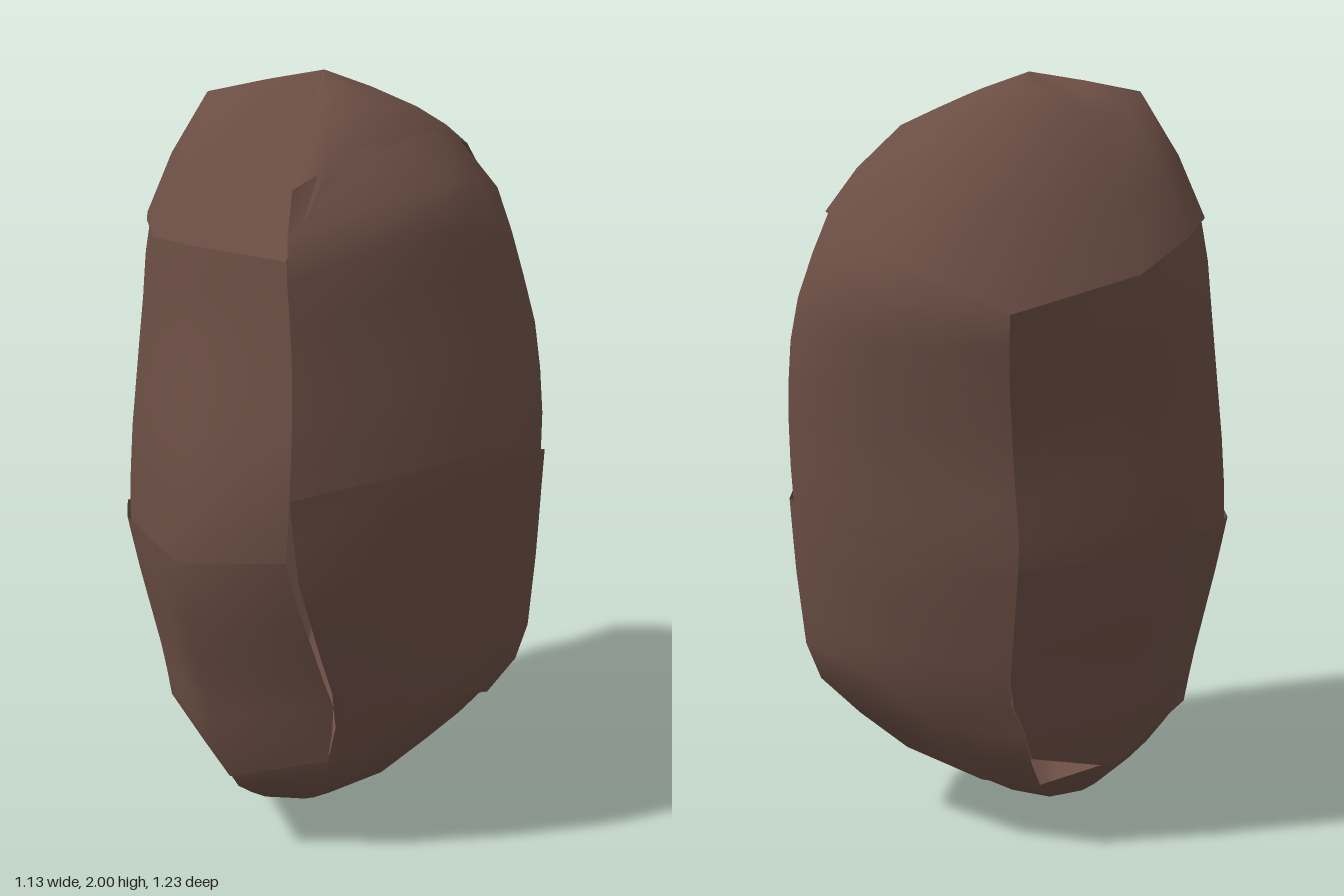
import * as THREE from 'three';

// Outline of the body seen from above, starting at +x and turning towards +z
const OUTLINE = [
  [1, 0.03], [0.9, 0.38], [0.68, 0.68], [0.29, 0.92], [-0.14, 1], [-0.66, 0.89], [-0.82, 0.56],
  [-0.98, 0.15], [-1, -0.09], [-0.88, -0.37], [-0.66, -0.76], [0.03, -1], [0.56, -0.87], [1, -0.49],
];
const N = OUTLINE.length;
// Corners that flatten towards the top
const UPPER_OUTLINE = OUTLINE.slice();
UPPER_OUTLINE[5] = [-0.68, 0.7];
UPPER_OUTLINE[6] = [-0.9, 0.5];
UPPER_OUTLINE[10] = [-0.6, -0.67];

// Extents at each height: y, xMin, xMax, zMin, zMax
const LEVELS = [
  [0, -0.09, -0.09, 0.06, 0.06], [0.11, -0.26, 0.08, -0.2, 0.28], [0.2, -0.36, 0.25, -0.33, 0.41],
  [0.33, -0.46, 0.41, -0.37, 0.445], [0.45, -0.48, 0.525, -0.41, 0.47], [0.72, -0.54, 0.545, -0.48, 0.55],
  [0.85, -0.565, 0.55, -0.51, 0.58], [1.06, -0.55, 0.56, -0.53, 0.6], [1.3, -0.525, 0.545, -0.58, 0.58],
  [1.44, -0.51, 0.51, -0.62, 0.565], [1.6, -0.495, 0.46, -0.57, 0.555], [1.7, -0.46, 0.42, -0.51, 0.55],
  [1.8, -0.39, 0.35, -0.46, 0.44], [1.9, -0.33, 0.21, -0.41, 0.24],
];

// Seam heights for each outline point
const TOP_SEAM = [1.82, 1.86, 1.86, 1.79, 1.62, 1.63, 1.63, 1.64, 1.64, 1.6, 1.52, 1.44, 1.55, 1.66];
const MID_LEFT = [1.0, 1.06, 1.12, 1.1, 1.06, 0, 0, 0, 0, 0, 0, 0.8, 0.82, 0.92];
const MID_RIGHT = [0, 0, 0, 0, 0.9, 0.88, 0.87, 0.85, 0.85, 0.84, 0.82, 0.8, 0, 0];
const LOW_SEAM = [0.29, 0.37, 0.44, 0.36, 0.3, 0.24, 0.28, 0.33, 0.33, 0.3, 0.22, 0.16, 0.17, 0.22];
// How far the shoulder of the top cap rises from its seam towards the apex
const SHOULDER = [0.5, 0.5, 0.5, 0.5, 0.55, 0.72, 0.82, 0.86, 0.84, 0.72, 0.72, 0.82, 0.75, 0.6];
const APEX = [-0.03, 2, 0.04];
const LOW_SKEW = -0.55;

const { lerp: mix, clamp } = THREE.MathUtils;

function levelAt(y) {
  const k = Math.max(1, LEVELS.findIndex((l) => l[0] >= y - 1e-6));
  const a = LEVELS[k - 1], b = LEVELS[k];
  const t = clamp((y - a[0]) / (b[0] - a[0]), 0, 1);
  return a.map((v, i) => mix(v, b[i], t));
}

// Outline corner at a height
function corner(i, y) {
  const t = clamp((y - 0.9) / 0.7, 0, 1);
  return OUTLINE[i % N].map((v, k) => mix(v, UPPER_OUTLINE[i % N][k], t));
}

// Point of the body at a fractional outline column and a height
function surface(col, y, scale) {
  const i = Math.floor(col), f = col - i;
  const p = corner(i, y), q = corner(i + 1, y);
  const u = mix(p[0], q[0], f), v = mix(p[1], q[1], f);
  const [, x0, x1, z0, z1] = levelAt(y);
  const cx = mix(x0, x1, 0.44), cz = mix(z0, z1, 0.45);
  return [
    cx + scale * u * (u > 0 ? x1 - cx : cx - x0), y,
    cz + scale * v * (v > 0 ? z1 - cz : cz - z0),
  ];
}

// Smooth sheet through rows of points, open or closed around
function sheet(rows, closed) {
  const width = rows[0].length, index = [];
  for (let r = 0; r < rows.length - 1; r++) {
    for (let c = 0; c < (closed ? width : width - 1); c++) {
      const a = r * width + c, b = r * width + (c + 1) % width;
      index.push(a, a + width, b, b, a + width, b + width);
    }
  }
  const g = new THREE.BufferGeometry();
  g.setAttribute('position', new THREE.Float32BufferAttribute(rows.flat(2), 3));
  g.setIndex(index);
  g.computeVertexNormals();
  return g;
}

// Side plate between two height rules; the skews slide the lower ends of its two edges
function plate(from, to, low, high, scale, startSkew = 0, endSkew = 0) {
  const rows = [], steps = 7;
  for (let r = 0; r <= steps; r++) {
    const t = r / steps, row = [];
    for (let i = from; i <= to; i++) {
      const skew = i === from ? startSkew : i === to ? endSkew : 0;
      row.push(surface(i + skew * (1 - t), mix(low(i), high(i), t), scale));
    }
    rows.push(row);
  }
  return sheet(rows, false);
}

// Domed cap: seam ring, raised shoulder ring and apex
function topCap() {
  const rim = TOP_SEAM.map((y, i) => surface(i === 3 ? 3.55 : i, y - 0.01, 1.01));
  const ring = (out, rise) => rim.map((p, i) => [
    mix(APEX[0], p[0], out), mix(p[1], APEX[1], rise(SHOULDER[i])), mix(APEX[2], p[2], out),
  ]);
  return sheet([
    rim, ring(0.85, (s) => s * 0.5), ring(0.64, (s) => s),
    ring(0.32, (s) => mix(s, 1, 0.55)), rim.map(() => APEX),
  ], true);
}

// Pointed cap under the body
function bottomCap() {
  const rows = [], steps = 5;
  for (let r = 0; r <= steps; r++) {
    rows.push(LOW_SEAM.map((y, i) => surface(i === 4 ? 4 + LOW_SKEW : i, (y + 0.015) * r / steps, 0.98)));
  }
  return sheet(rows, true);
}

export function createModel() {
  const group = new THREE.Group();
  const brown = new THREE.MeshStandardMaterial({ color: 0x6b4e44, side: THREE.DoubleSide });
  brown.name = 'brown';
  const add = (name, geometry) => {
    const mesh = new THREE.Mesh(geometry, brown);
    mesh.name = name;
    group.add(mesh);
  };
  const seam = (table, shift = 0) => (i) => table[i % N] + shift;

  // Caps at both ends
  add('topCap', topCap());
  add('bottomCap', bottomCap());

  // Side plates meet at a front seam (column 4) and a back seam (column 11)
  const leftTop = (i) => ({ 3: 1.83, 4: 1.76 }[i % N] ?? TOP_SEAM[i % N]);
  const rightLow = (i) => (i === 11 ? 0.27 : LOW_SEAM[i]);
  add('upperLeftPlate', plate(11, 18, seam(MID_LEFT, -0.02), leftTop, 0.995));
  add('upperRightPlate', plate(4, 11, seam(MID_RIGHT, -0.02), seam(TOP_SEAM), 0.99));
  add('lowerLeftPlate', plate(11, 18, seam(LOW_SEAM), seam(MID_LEFT), 1.01, 0, LOW_SKEW));
  add('lowerRightPlate', plate(4, 11, rightLow, seam(MID_RIGHT), 1, LOW_SKEW, 0));

  return group;
}
